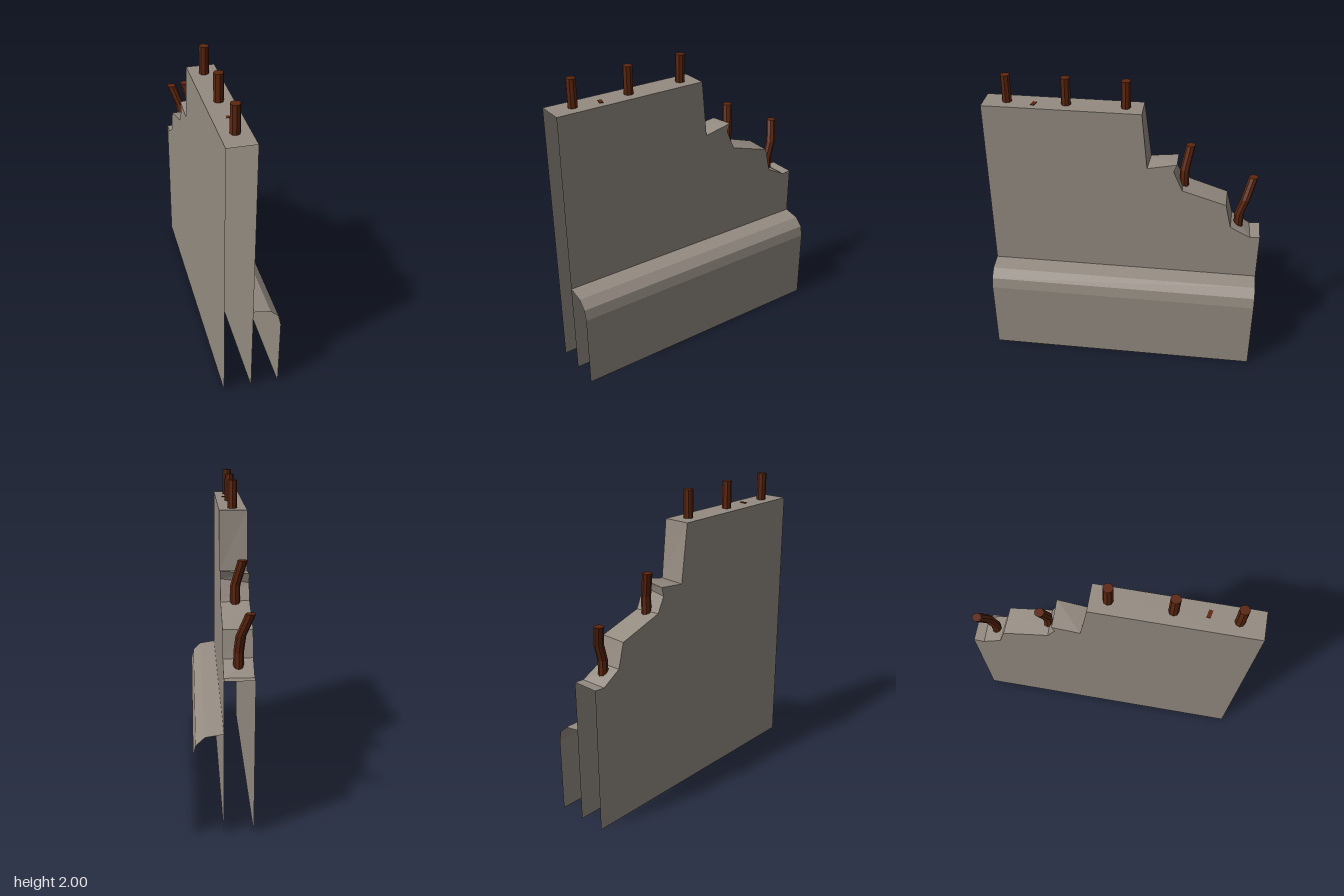
import * as THREE from 'three';

const concrete = new THREE.MeshStandardMaterial({ color: 0x958c82, side: THREE.DoubleSide });
concrete.name = 'concrete';
const rust = new THREE.MeshStandardMaterial({ color: 0x5c260f });
rust.name = 'rustedSteel';

const HALF = 0.91, BACK_X = -0.18, TOP = 1.82;

function flat(geometry) {
  const g = geometry.index ? geometry.toNonIndexed() : geometry;
  g.computeVertexNormals();
  return g;
}

function mesh(name, geometry, material) {
  const m = new THREE.Mesh(geometry, material);
  m.name = name;
  return m;
}

// Faceted strip joining two matching rows of [x, y, z] points
function ribbon(a, b) {
  const p = [];
  for (let i = 0; i < a.length - 1; i++) {
    p.push(...a[i], ...a[i + 1], ...b[i], ...a[i + 1], ...b[i + 1], ...b[i]);
  }
  const g = new THREE.BufferGeometry();
  g.setAttribute('position', new THREE.Float32BufferAttribute(p, 3));
  return flat(g);
}

// Flat wall side under a [z, y] top edge; dir is the way it faces along x
function wallSide(edge, x, dir) {
  const pts = [[HALF, 0], ...edge, [-HALF, 0]].map(([z, y]) => new THREE.Vector2(-dir * z, y));
  return new THREE.ShapeGeometry(new THREE.Shape(pts)).rotateY(dir * Math.PI / 2).translate(x, 0, 0);
}

// Eight-sided bar whose level rings follow a path, listed from the top down
function bar(path) {
  const n = path.length - 1;
  const g = new THREE.CylinderGeometry(0.031, 0.031, n, 8, n);
  const pos = g.attributes.position;
  for (let i = 0; i < pos.count; i++) {
    const [x, y, z] = path[Math.round(n / 2 - pos.getY(i))];
    pos.setXYZ(i, pos.getX(i) + x, y, pos.getZ(i) + z);
  }
  return flat(g);
}

export function createModel() {
  const group = new THREE.Group();
  group.name = 'brokenWall';

  // Broken top edge, as [z, y], slightly different on each side of the wall
  const rightEdge = [[HALF, TOP], [-0.11, TOP], [-0.148, 1.44], [-0.34, 1.48], [-0.32, 1.425],
    [-0.38, 1.29], [-0.67, 1.2], [-0.71, 1.03], [-0.845, 0.96], [-HALF, 0.965]];
  const leftEdge = [[HALF, TOP], [-0.11, TOP], [-0.16, 1.44], [-0.34, 1.46], [-0.325, 1.4],
    [-0.375, 1.3], [-0.675, 1.2], [-0.717, 1.04], [-0.84, 0.96], [-HALF, 0.965]];

  // Wall shell, open at the ends and below
  group.add(
    mesh('wallFace', wallSide(rightEdge, 0, 1), concrete),
    mesh('wallBack', wallSide(leftEdge, BACK_X, -1), concrete),
    mesh('brokenTop', ribbon(
      rightEdge.map(([z, y]) => [0, y, z]),
      leftEdge.map(([z, y]) => [BACK_X, y, z])), concrete));

  // Rounded ledge along the foot of the wall
  const ledge = [[0, 0.64], [0.11, 0.622], [0.165, 0.57], [0.18, 0.5], [0.18, 0]];
  group.add(mesh('ledge', ribbon(
    ledge.map(([x, y]) => [x, y, HALF]),
    ledge.map(([x, y]) => [x, y, -HALF])), concrete));

  // Straight bars on the unbroken top
  for (const z of [0.76, 0.38, 0]) {
    group.add(mesh('straightBar', bar([[-0.09, 2, z], [-0.09, TOP, z]]), rust));
  }

  // Bent bars in the broken part
  group.add(
    mesh('bentBarUpper', bar([[-0.133, 1.56, -0.417], [-0.09, 1.4, -0.387], [-0.09, 1.24, -0.387]]), rust),
    mesh('bentBarLower', bar([[-0.152, 1.34, -0.837], [-0.1, 1.2, -0.797],
      [-0.09, 1.09, -0.762], [-0.09, 0.96, -0.762]]), rust));

  // Small rust fleck on the top
  const fleck = mesh('rustFleck', new THREE.BoxGeometry(0.05, 0.004, 0.025), rust);
  fleck.position.set(-0.072, TOP + 0.001, 0.585);
  fleck.rotation.y = -0.2;
  group.add(fleck);

  return group;
}
